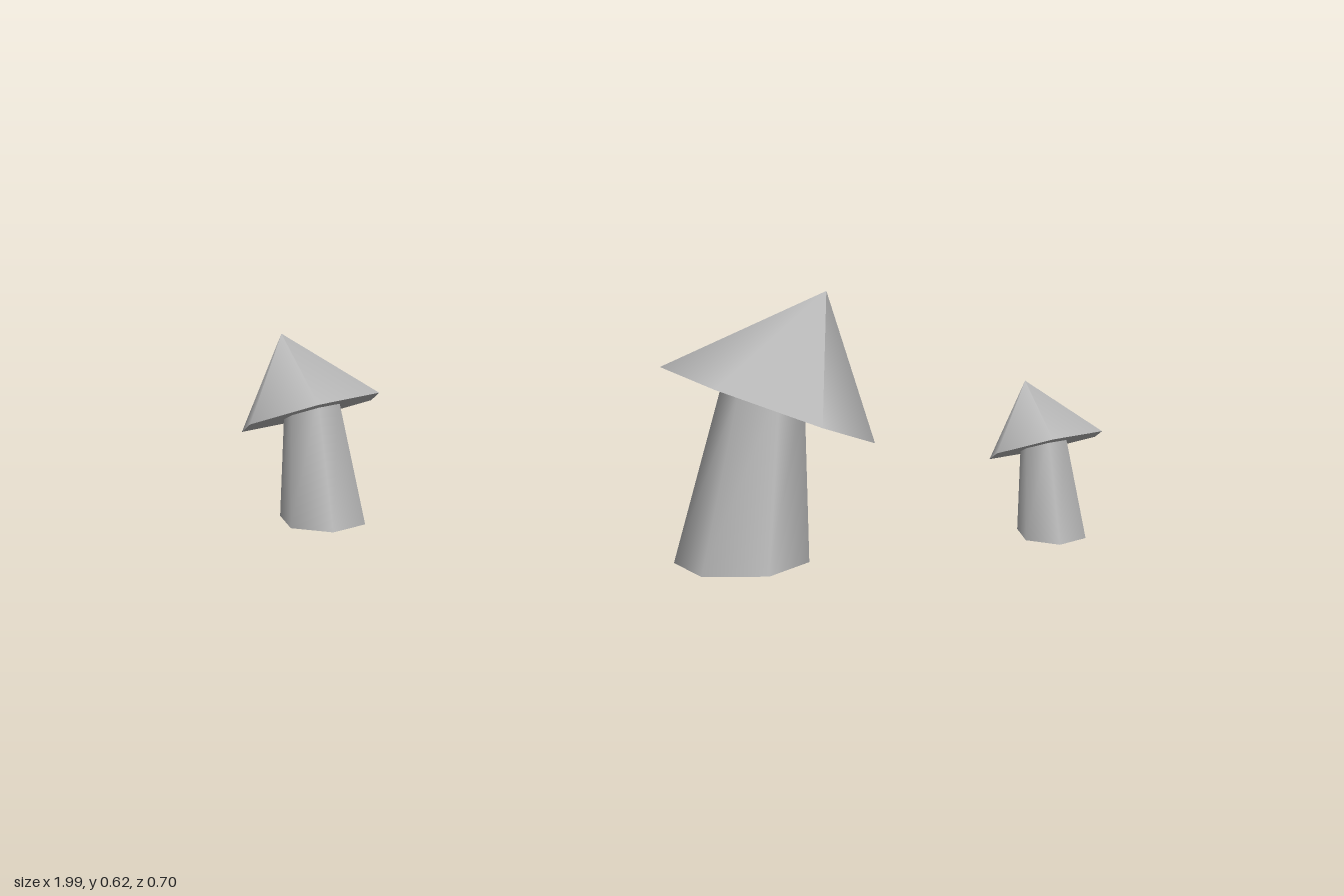
import * as THREE from 'three';

const SQUASH = 0.82; // caps are flattened vertically after tilting
const rad = THREE.MathUtils.degToRad;

// Tilted six-sided cone with its rim centred on `rim` and its tip on `tip`
function makeCap(rim, tip, radius, angle, material) {
  const axis = new THREE.Vector3(tip[0] - rim[0], (tip[1] - rim[1]) / SQUASH, tip[2] - rim[2]);
  const height = axis.length();
  const tilt = new THREE.Quaternion().setFromUnitVectors(new THREE.Vector3(0, 1, 0), axis.normalize());
  const geometry = new THREE.ConeGeometry(radius, height, 6, 1, false, rad(angle))
    .translate(0, height / 2, 0)
    .applyQuaternion(tilt)
    .scale(1, SQUASH, 1)
    .translate(...rim);
  const mesh = new THREE.Mesh(geometry, material);
  mesh.name = 'cap';
  return mesh;
}

// Tapered hollow stem, leaning by `lean` with its foot cut at `slope` (both in x and z)
function makeStem({ foot, height, radii, lean, slope, angle }, material) {
  const shear = new THREE.Matrix4().set(
    1, lean[0], 0, foot[0],
    slope[0], 1, slope[1], foot[1],
    0, lean[1], 1, foot[2],
    0, 0, 0, 1);
  const geometry = new THREE.CylinderGeometry(radii[1], radii[0], height, 6, 1, true, rad(angle))
    .translate(0, height / 2, 0)
    .applyMatrix4(shear);
  const mesh = new THREE.Mesh(geometry, material);
  mesh.name = 'stem';
  return mesh;
}

const MUSHROOMS = [
  {
    name: 'largeMushroom',
    rim: [0.271, 0.372, 0.112], tip: [0.39, 0.625, 0.012], radius: 0.27, angle: 39.1,
    stem: { foot: [0.219, 0.007, 0.156], height: 0.42, radii: [0.157, 0.095], lean: [0.1, -0.106], slope: [0.03, -0.018], angle: -25 },
  },
  {
    name: 'mediumMushroom',
    rim: [-0.834, 0.267, -0.051], tip: [-0.915, 0.435, -0.115], radius: 0.181, angle: -39.6,
    stem: { foot: [-0.8, 0.02, -0.022], height: 0.3, radii: [0.102, 0.063], lean: [-0.1, -0.06], slope: [-0.03, -0.05], angle: 25 },
  },
  {
    name: 'smallMushroom',
    rim: [0.859, 0.225, -0.227], tip: [0.8, 0.363, -0.28], radius: 0.146, angle: -39.4,
    stem: { foot: [0.875, 0.02, -0.212], height: 0.245, radii: [0.082, 0.052], lean: [-0.09, -0.055], slope: [-0.06, -0.08], angle: 25 },
  },
];

export function createModel() {
  const material = new THREE.MeshStandardMaterial({ color: 0xb8b8b8, side: THREE.DoubleSide });
  material.name = 'plain grey';

  const model = new THREE.Group();
  model.name = 'mushrooms';
  for (const m of MUSHROOMS) {
    const mushroom = new THREE.Group();
    mushroom.name = m.name;
    mushroom.add(makeCap(m.rim, m.tip, m.radius, m.angle, material), makeStem(m.stem, material));
    model.add(mushroom);
  }
  return model;
}
